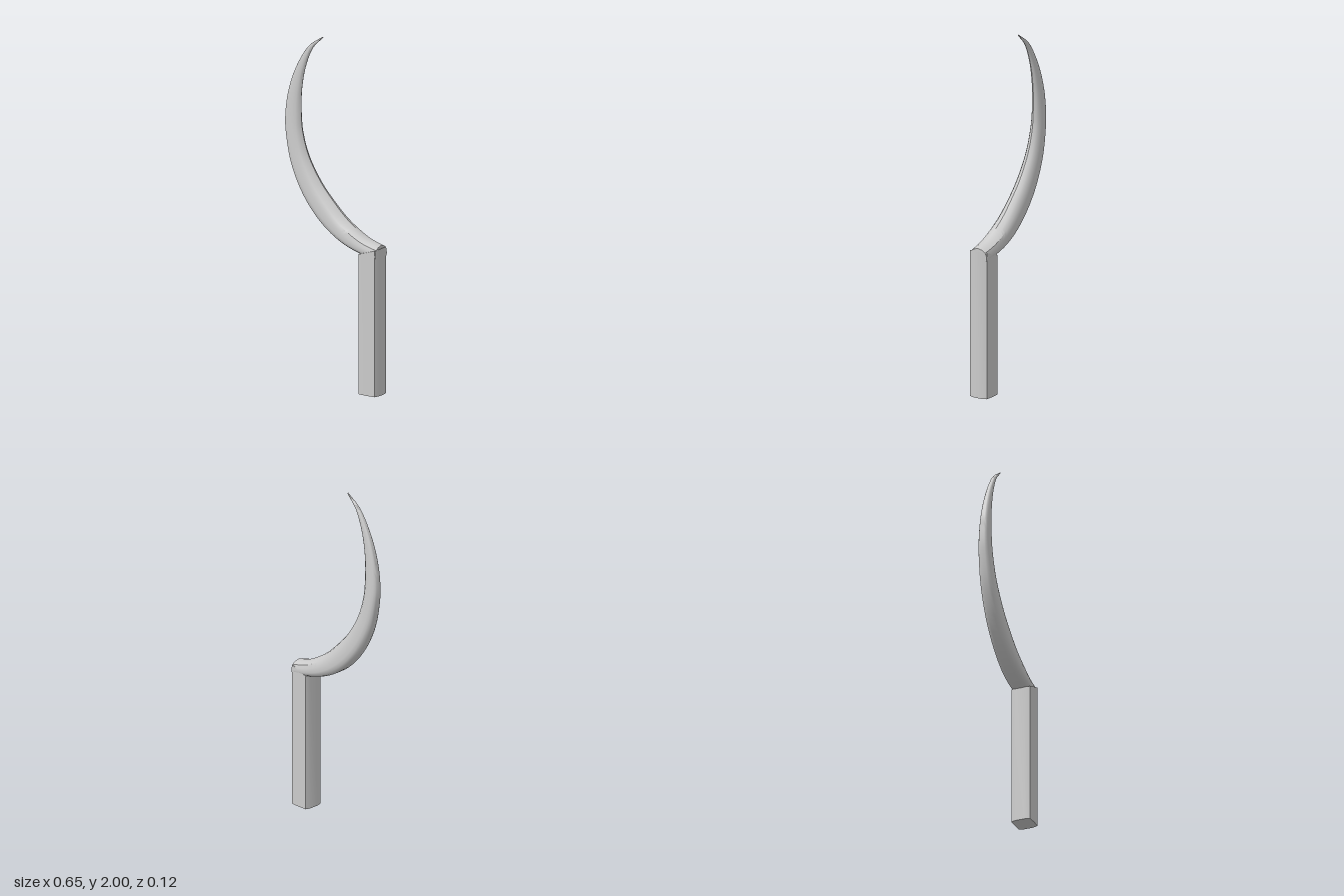
import * as THREE from 'three';
import { toCreasedNormals } from 'three/addons/utils/BufferGeometryUtils.js';

const material = new THREE.MeshStandardMaterial({ color: 0xcccccc });

// Blade edges in the xy plane, paired from handle to tip
const OUTER = [[0.315, 0.78], [0.2, 0.802], [0.1, 0.832], [0.0, 0.882], [-0.1, 0.96], [-0.2, 1.08],
  [-0.28, 1.24], [-0.317, 1.4], [-0.325, 1.5], [-0.307, 1.65], [-0.255, 1.8], [-0.17, 1.935], [-0.08, 2.0]];
const INNER = [[0.315, 0.863], [0.23, 0.888], [0.16, 0.925], [0.08, 0.98], [0.0, 1.055], [-0.09, 1.155],
  [-0.175, 1.295], [-0.214, 1.42], [-0.223, 1.5], [-0.223, 1.65], [-0.197, 1.8], [-0.145, 1.925], [-0.076, 1.996]];
// Half thickness in z at the same stations
const HALF = [0.056, 0.058, 0.059, 0.056, 0.052, 0.047, 0.04, 0.034, 0.03, 0.024, 0.017, 0.01, 0.003];

// Half cross-section: [outer to inner fraction, share of the half thickness]
const SIDE = [[0, 0.4], [0.05, 0.68], [0.15, 0.9], [0.3, 1], [0.55, 0.97], [0.77, 0.85], [0.92, 0.5]];
const SECTION = [
  ...SIDE.map(([u, w]) => [u, -w]),
  [1, 0],
  ...SIDE.slice().reverse(),
];

function bladeGeometry(steps = 60) {
  const curve = (pts) => new THREE.CatmullRomCurve3(pts.map(([x, y], i) => new THREE.Vector3(x, y, HALF[i])));
  const outer = curve(OUTER), inner = curve(INNER);
  const n = SECTION.length, positions = [], index = [];
  for (let i = 0; i <= steps; i++) {
    const a = outer.getPoint(i / steps), b = inner.getPoint(i / steps);
    for (const [u, w] of SECTION) {
      positions.push(a.x + (b.x - a.x) * u, a.y + (b.y - a.y) * u, a.z * w);
    }
  }
  for (let i = 0; i < steps; i++) {
    for (let j = 0; j < n; j++) {
      const k = (j + 1) % n;
      const a = i * n + j, b = i * n + k, c = a + n, d = b + n;
      index.push(a, d, b, a, c, d);
    }
  }
  // End caps
  const last = steps * n;
  for (let j = 1; j < n - 1; j++) {
    index.push(0, j, j + 1, last, last + j + 1, last + j);
  }
  const geometry = new THREE.BufferGeometry();
  geometry.setAttribute('position', new THREE.Float32BufferAttribute(positions, 3));
  geometry.setIndex(index);
  return toCreasedNormals(geometry, 0.6);
}

function handleGeometry() {
  // Rounded square outline, drawn as (x, -z) and extruded upwards
  const outline = [[0.196, -0.03], [0.204, -0.06], [0.26, -0.062], [0.311, -0.058], [0.322, -0.025],
    [0.322, 0.025], [0.311, 0.055], [0.26, 0.056], [0.204, 0.053], [0.196, 0.025]];
  const shape = new THREE.Shape(outline.map(([x, y]) => new THREE.Vector2(x, y)));
  const geometry = new THREE.ExtrudeGeometry(shape, { depth: 0.85, bevelEnabled: false });
  geometry.rotateX(-Math.PI / 2);
  // Slant the top so that it meets the underside of the blade
  const p = geometry.attributes.position;
  for (let i = 0; i < p.count; i++) {
    if (p.getY(i) > 0.5) p.setY(i, 0.805 + (p.getX(i) - 0.196) * 0.34);
  }
  return toCreasedNormals(geometry, 0.6);
}

export function createModel() {
  const group = new THREE.Group();
  group.name = 'sickle';
  const parts = { blade: bladeGeometry(), handle: handleGeometry() };
  for (const [name, geometry] of Object.entries(parts)) {
    const mesh = new THREE.Mesh(geometry, material);
    mesh.name = name;
    group.add(mesh);
  }
  return group;
}
